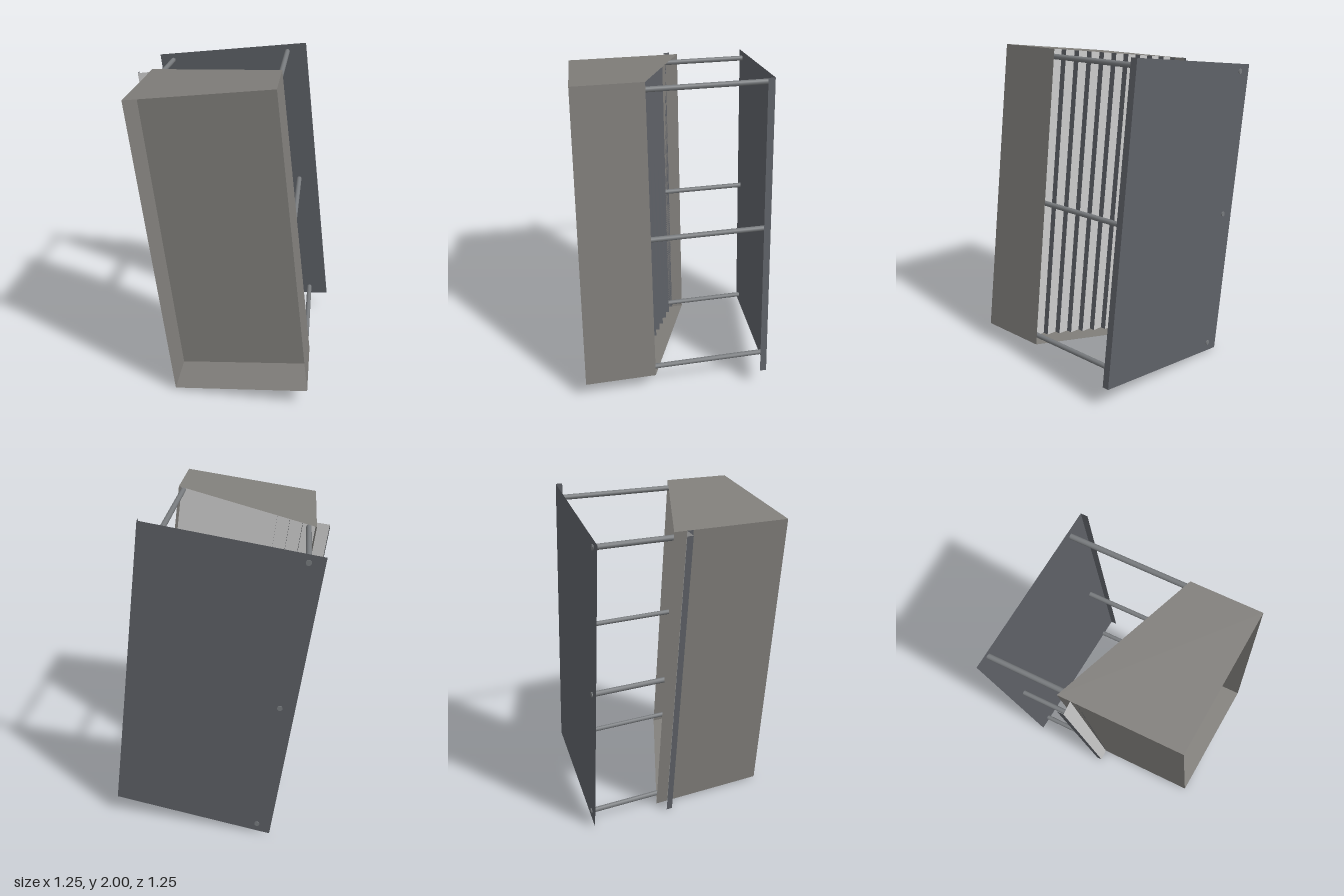
import * as THREE from 'three';

const W = 0.842, H = 1.885;   // housing width and height in its own tilted frame

const sheetMaterial = color => new THREE.MeshStandardMaterial({ color, side: THREE.DoubleSide, flatShading: true });
const housingMaterial = sheetMaterial(0x807e7a);
const plateMaterial = sheetMaterial(0x5e6167);
const treadMaterial = sheetMaterial(0xcccccc);
const rodMaterial = new THREE.MeshStandardMaterial({ color: 0x777a7d });

// front rim slopes across the width and up the height
const frontZ = (x, y) => 0.565 + 0.06 * x / W - 0.033 * y / H;
const backZ = x => -0.18 + 0.358 * x / W;
const recess = 0.275;

// thin sheet made of four-cornered faces
function sheet(name, material, quads) {
  const pos = [];
  for (const [a, b, c, d] of quads) pos.push(...a, ...b, ...c, ...a, ...c, ...d);
  const geo = new THREE.BufferGeometry();
  geo.setAttribute('position', new THREE.Float32BufferAttribute(pos, 3));
  geo.computeVertexNormals();
  const mesh = new THREE.Mesh(geo, material);
  mesh.name = name;
  return mesh;
}

// upright strip between two outline points (x, z), over the full height
const strip = ([x0, z0], [x1, z1]) => [[x0, 0, z0], [x1, 0, z1], [x1, H, z1], [x0, H, z0]];

// housing wall between two corners of the rectangle, from back edge to front rim
function wall(name, [x0, y0], [x1, y1]) {
  return sheet(name, housingMaterial, [[
    [x0, y0, backZ(x0)], [x1, y1, backZ(x1)],
    [x1, y1, frontZ(x1, y1)], [x0, y0, frontZ(x0, y0)],
  ]]);
}

function rod(name, x, y, z0, z1) {
  const geo = new THREE.CylinderGeometry(0.016, 0.016, z1 - z0, 12).rotateX(Math.PI / 2);
  const mesh = new THREE.Mesh(geo, rodMaterial);
  mesh.position.set(x, y, (z0 + z1) / 2);
  mesh.name = name;
  return mesh;
}

export function createModel() {
  const model = new THREE.Group();
  model.name = 'tiltedPanelHousing';
  const body = new THREE.Group();
  body.name = 'tiltedBody';
  body.position.set(-0.318, 0.01, 0);
  body.rotation.z = THREE.MathUtils.degToRad(7.15);
  model.add(body);

  // four housing walls, open at front and back
  body.add(
    wall('bottomWall', [W, 0], [0, 0]),
    wall('rightWall', [0, 0], [0, H]),
    wall('topWall', [0, H], [W, H]),
    wall('leftWall', [W, H], [W, 0]),
  );

  // recessed front panel
  const corner = (x, y) => [x, y, frontZ(x, y) - recess];
  body.add(sheet('frontPanel', housingMaterial, [[corner(0, 0), corner(W, 0), corner(W, H), corner(0, H)]]));

  // stepped sheet behind the panel: light treads, dark risers;
  // its first step stands outside the wall
  const treads = [], risers = [];
  const stepZ = i => Math.min(-0.103 + i * 0.038, 0.308);
  for (let i = -1; i <= 10; i++) {
    const x = i * 0.075, end = i < 10 ? x + 0.075 : W;
    risers.push(strip([x, stepZ(i)], [x, stepZ(i + 1)]));
    treads.push(strip([x, stepZ(i + 1)], [end, stepZ(i + 1)]));
  }
  body.add(sheet('stepTreads', treadMaterial, treads), sheet('stepRisers', plateMaterial, risers));

  // back plate with a folded lip
  const edge = [0.95, -0.525];
  body.add(sheet('backPlate', plateMaterial, [strip([-0.05, -0.625], edge), strip(edge, [0.95, -0.484])]));

  // rods joining the housing to the plate
  for (const y of [0.057, 0.942, 1.84]) {
    body.add(rod('rightRod', 0.037, y, -0.622, -0.062));
    body.add(rod('leftRod', 0.824, y, -0.53, 0.27));
  }
  return model;
}
